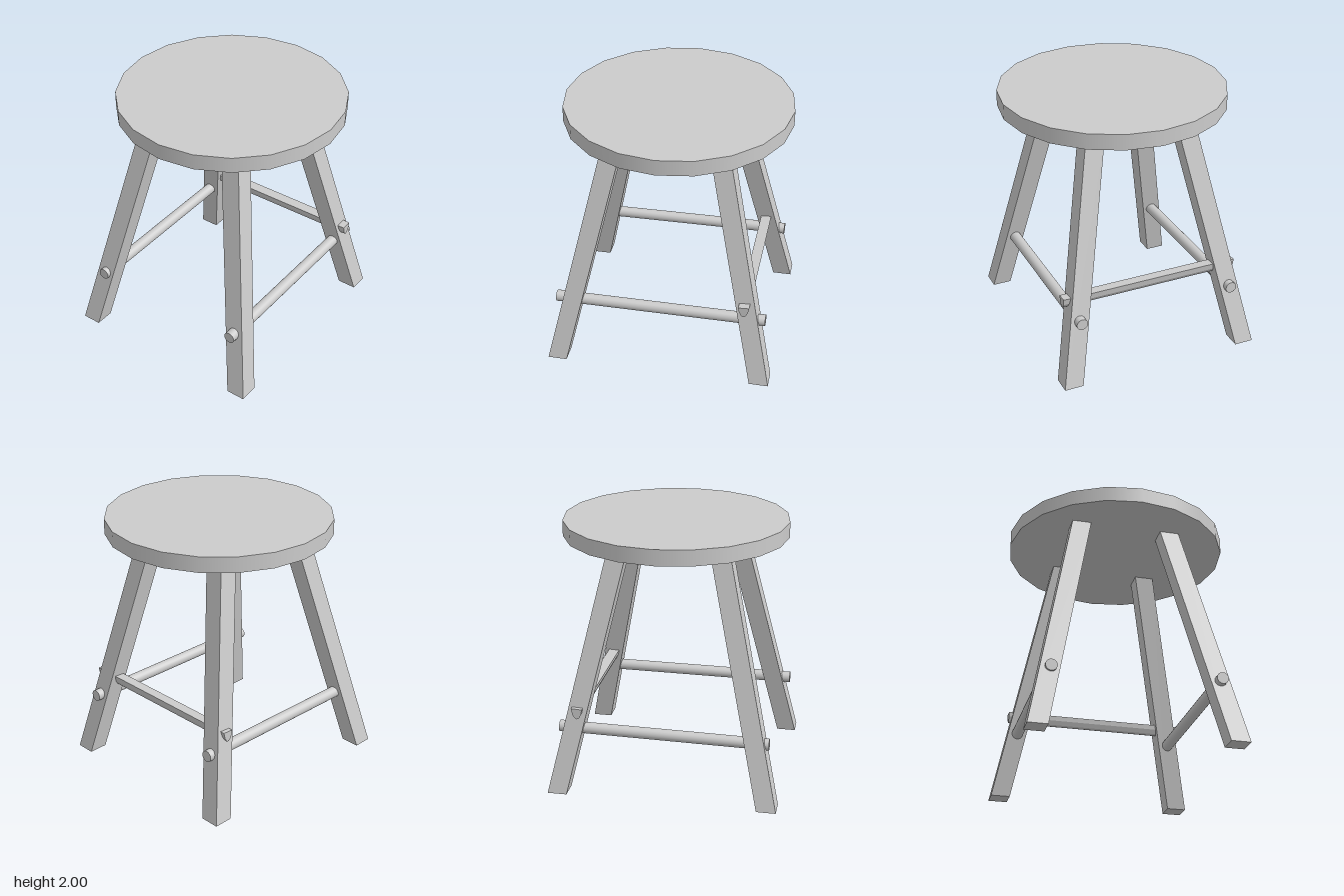
import * as THREE from 'three';

const material = new THREE.MeshStandardMaterial({ color: 0xcccccc });

function add(group, name, geometry) {
  const mesh = new THREE.Mesh(geometry, material);
  mesh.name = name;
  group.add(mesh);
  return mesh;
}

const LEG_HEIGHT = 1.88;
const LEG_WIDTH = 0.148;

// Square post sheared from its foot to its top, so both ends stay level.
function legGeometry([footX, footZ], [topX, topZ]) {
  const geo = new THREE.BoxGeometry(LEG_WIDTH, LEG_HEIGHT, LEG_WIDTH);
  geo.translate(0, LEG_HEIGHT / 2, 0);
  const pos = geo.attributes.position;
  for (let i = 0; i < pos.count; i++) {
    const t = pos.getY(i) / LEG_HEIGHT;
    pos.setX(i, pos.getX(i) + THREE.MathUtils.lerp(footX, topX, t));
    pos.setZ(i, pos.getZ(i) + THREE.MathUtils.lerp(footZ, topZ, t));
  }
  geo.computeVertexNormals();
  return geo;
}

// Round rung between two points.
function addRung(group, name, from, to, radius) {
  const dir = to.clone().sub(from);
  const mesh = add(group, name, new THREE.CylinderGeometry(radius, radius, dir.length(), 20));
  mesh.position.copy(from).add(to).multiplyScalar(0.5);
  mesh.quaternion.setFromUnitVectors(new THREE.Vector3(0, 1, 0), dir.normalize());
}

export function createModel() {
  const stool = new THREE.Group();
  stool.name = 'stool';

  // Seat
  const seat = add(stool, 'seat', new THREE.CylinderGeometry(0.861, 0.861, 0.12, 20));
  seat.position.set(0, 1.94, -0.023);

  // Splayed legs
  const legs = [
    ['frontLeftLeg', [0.69, 0.805], [0.325, 0.378]],
    ['frontRightLeg', [-0.757, 0.806], [-0.38, 0.38]],
    ['backLeftLeg', [0.69, -0.797], [0.325, -0.39]],
    ['backRightLeg', [-0.757, -0.797], [-0.38, -0.375]],
  ];
  for (const [name, foot, top] of legs) add(stool, name, legGeometry(foot, top));

  // Side rungs, passing through the legs
  addRung(stool, 'leftRung', new THREE.Vector3(0.592, 0.497, 0.825), new THREE.Vector3(0.592, 0.506, -0.81), 0.044);
  addRung(stool, 'rightRung', new THREE.Vector3(-0.657, 0.478, 0.80), new THREE.Vector3(-0.657, 0.496, -0.80), 0.044);

  // Back rung with a flat top and a rounded underside
  const profile = new THREE.Shape([
    [0.61, 0.672], [0.616, 0.635], [0.632, 0.602], [0.648, 0.592],
    [0.663, 0.597], [0.683, 0.628], [0.693, 0.677],
  ].map(([z, y]) => new THREE.Vector2(z, y)));
  const backRung = new THREE.ExtrudeGeometry(profile, { depth: 1.42, bevelEnabled: false });
  backRung.rotateY(Math.PI / 2); // profile x becomes -z, depth becomes +x
  backRung.translate(-0.73, 0, 0);
  add(stool, 'backRung', backRung);

  return stool;
}
